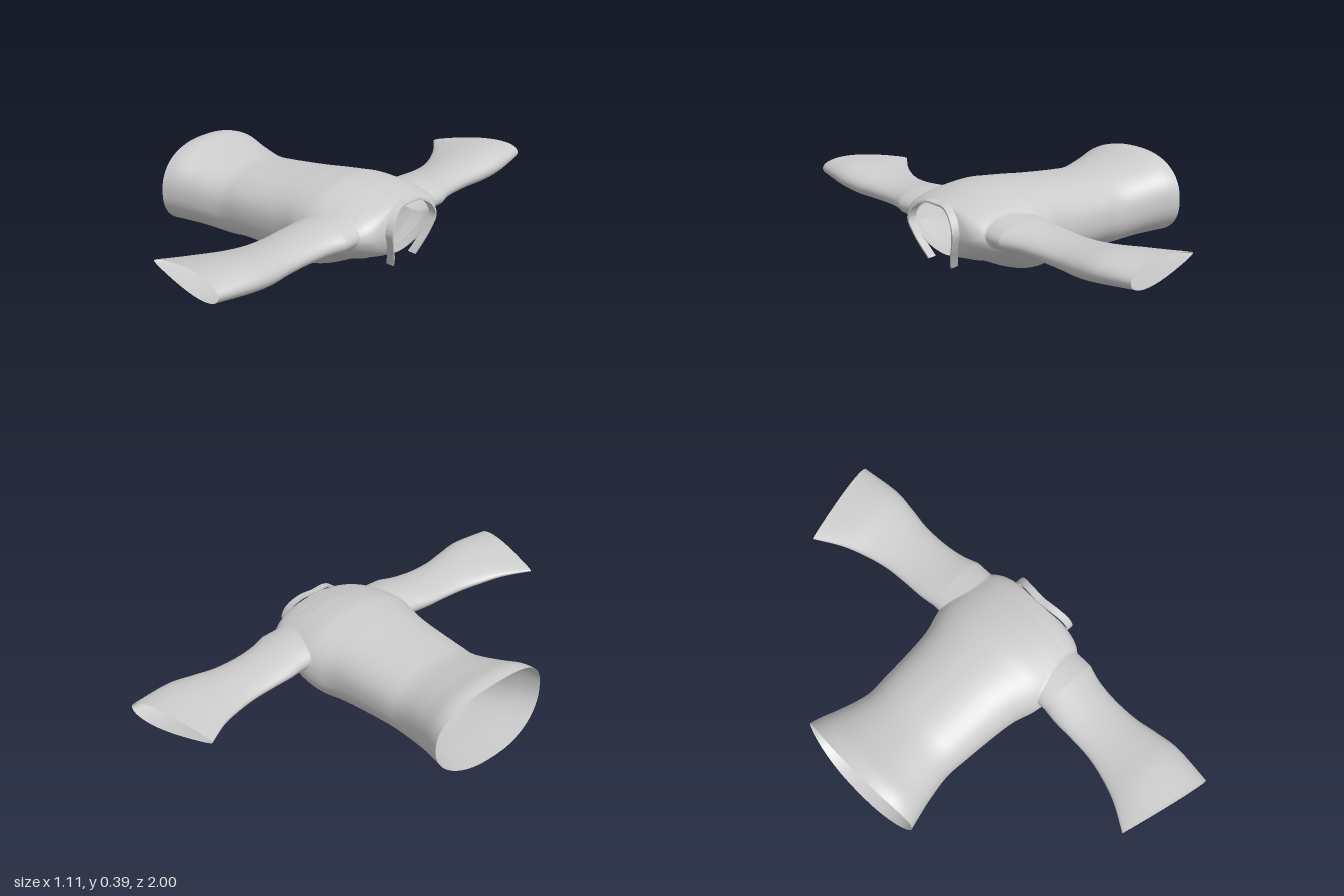
import * as THREE from 'three';
import { toCreasedNormals } from 'three/addons/utils/BufferGeometryUtils.js';

const cloth = new THREE.MeshStandardMaterial({ color: 0xcccccc, side: THREE.DoubleSide });

// Smoothly interpolates the columns of a table of sections; t runs 0..1
function sampler(table) {
  const curves = table[0].map((_, c) => new THREE.SplineCurve(table.map((row, i) => new THREE.Vector2(i, row[c]))));
  return t => curves.map(curve => curve.getPoint(t).y);
}

// Skins rows of points, each row a closed loop; keep() can leave quads out
function loft(rows, keep = () => true) {
  const n = rows[0].length, index = [];
  for (let i = 0; i < rows.length - 1; i++) {
    for (let j = 0; j < n; j++) {
      const k = (j + 1) % n;
      const a = i * n + j, b = i * n + k, c = a + n, d = b + n;
      if (keep(rows[i][j], rows[i][k], rows[i + 1][j], rows[i + 1][k])) index.push(a, b, c, b, d, c);
    }
  }
  const geometry = new THREE.BufferGeometry();
  geometry.setAttribute('position', new THREE.Float32BufferAttribute(rows.flat().flatMap(p => [p.x, p.y, p.z]), 3));
  geometry.setIndex(index);
  geometry.computeVertexNormals();
  return geometry;
}

const power = (v, e) => Math.sign(v) * Math.abs(v) ** e;

// Torso sections from hem to neck: x, half width, top, bottom, exponent, side bulge in x, lower taper
const torso = sampler([
  [-0.558, 0.302, 0.386, 0.022, 2.3, 0.028, 0],
  [-0.50, 0.288, 0.389, 0.021, 2.3, 0.02, 0],
  [-0.40, 0.262, 0.362, 0.019, 2.3, 0.01, 0],
  [-0.27, 0.238, 0.335, 0.011, 2.3, 0, 0],
  [-0.17, 0.242, 0.335, 0.019, 2.3, 0, 0],
  [0, 0.254, 0.349, 0.011, 2.3, 0, 0],
  [0.10, 0.267, 0.36, 0.005, 2.3, 0, 0],
  [0.18, 0.293, 0.367, 0.003, 2.2, 0, 0],
  [0.25, 0.307, 0.372, 0.022, 2.1, 0, 0],
  [0.34, 0.303, 0.363, 0.062, 2, 0, 0],
  [0.42, 0.288, 0.345, 0.088, 2, 0, 0],
  [0.47, 0.262, 0.331, 0.103, 2, 0.002, 0.08],
  [0.488, 0.215, 0.325, 0.107, 2, 0.018, 0.18],
  [0.492, 0.145, 0.319, 0.108, 2.3, 0.03, 0.35],
]);

// Armhole ellipse in x and y
const hole = { x: 0.34, y: 0.235, a: 0.137, b: 0.066 };
const holeRadius = p => Math.hypot((p.x - hole.x) / hole.a, (p.y - hole.y) / hole.b);

function torsoGeometry() {
  const rows = [];
  for (let i = 0; i <= 130; i++) {
    const [x, w, top, bottom, n, bulge, taper] = torso(i / 130);
    const row = [];
    for (let j = 0; j < 128; j++) {
      const angle = j / 128 * Math.PI * 2, c = Math.cos(angle), s = Math.sin(angle);
      const v = power(s, 2 / n);
      const p = new THREE.Vector3(
        x + bulge * c * c + (bulge && x > 0 ? 0.006 * s : 0),
        (top + bottom) / 2 + (top - bottom) / 2 * v,
        w * power(c, 2 / n) * (1 + taper * Math.min(v, 0)));
      // Snap points just inside the armhole to its edge
      const r = holeRadius(p);
      if (Math.abs(p.z) > 0.15 && r > 0.8 && r < 1) {
        p.x = hole.x + (p.x - hole.x) / r;
        p.y = hole.y + (p.y - hole.y) / r;
      }
      row.push(p);
    }
    rows.push(row);
  }
  return loft(rows, (...quad) => !quad.some(p => Math.abs(p.z) > 0.15 && holeRadius(p) < 0.8));
}

// Depth of the torso's side wall at a given x and y
function wallDepth(x, y) {
  let low = 0, high = 1;
  for (let i = 0; i < 30; i++) {
    const mid = (low + high) / 2;
    if (torso(mid)[0] < x) low = mid; else high = mid;
  }
  const [, w, top, bottom, n] = torso(low);
  const v = Math.min(1, Math.abs(y - (top + bottom) / 2) / ((top - bottom) / 2));
  return w * (1 - v ** n) ** (1 / n);
}

// Sleeve sections: rear edge x and z, front edge x and z, top, bottom, fullness towards the front edge
const sleeve = sampler([
  [0.203, 0.33, 0.477, 0.33, 0.295, 0.172, 0],
  [0.194, 0.40, 0.452, 0.41, 0.284, 0.176, 0.08],
  [0.191, 0.50, 0.44, 0.51, 0.276, 0.177, 0.15],
  [0.182, 0.60, 0.441, 0.62, 0.278, 0.175, 0.2],
  [0.155, 0.70, 0.455, 0.72, 0.288, 0.176, 0.28],
  [0.112, 0.80, 0.463, 0.83, 0.300, 0.187, 0.38],
  [0.043, 0.91, 0.441, 1.0, 0.300, 0.203, 0.5],
]);

function sleeveGeometry() {
  const rows = [], sides = 64, loop = [...Array(sides).keys()].map(j => -j / sides * Math.PI * 2);
  // Root follows the torso wall around the armhole
  rows.push(loop.map(angle => {
    const x = hole.x + hole.a * Math.cos(angle), y = hole.y + hole.b * Math.sin(angle);
    return new THREE.Vector3(x, y, wallDepth(x, y) - 0.004);
  }));
  for (let i = 0; i <= 48; i++) {
    const [x0, z0, x1, z1, top, bottom, full] = sleeve(i / 48);
    rows.push(loop.map(angle => {
      const c = Math.cos(angle), s = Math.sin(angle);
      return new THREE.Vector3(
        (x0 + x1) / 2 + (x1 - x0) / 2 * c,
        (top + bottom) / 2 + (top - bottom) / 2 * s * (1 + full * c) / (1 + full * full / 2),
        (z0 + z1) / 2 + (z1 - z0) / 2 * c);
    }));
  }
  return loft(rows);
}

// Collar: a thin band around the neck, open at the chest
function collarGeometry() {
  const half = [[0.495, 0.325, 0], [0.502, 0.322, 0.07], [0.517, 0.287, 0.127], [0.523, 0.24, 0.148],
    [0.512, 0.18, 0.128], [0.494, 0.12, 0.095], [0.478, 0.08, 0.075]].map(p => new THREE.Vector3(...p));
  const mirrored = half.slice(1).reverse().map(p => new THREE.Vector3(p.x, p.y, -p.z));
  const path = new THREE.CatmullRomCurve3([...mirrored, ...half]);
  const rows = [];
  for (let i = 0; i <= 80; i++) {
    const p = path.getPoint(i / 80), tangent = path.getTangent(i / 80);
    const out = new THREE.Vector3(0, tangent.z, -tangent.y).normalize().multiplyScalar(0.004);
    const edge = new THREE.Vector3(0.033, -0.004, 0);
    rows.push([[-1, 0], [1, 0], [1, 1], [-1, 1]].map(([o, e]) =>
      p.clone().addScaledVector(out, o).addScaledVector(edge, e)));
  }
  return toCreasedNormals(loft(rows), Math.PI / 4);
}

export function createModel() {
  const model = new THREE.Group();
  model.name = 'shirt';
  const add = (name, geometry) => {
    const mesh = new THREE.Mesh(geometry, cloth);
    mesh.name = name;
    model.add(mesh);
    return mesh;
  };
  add('torso', torsoGeometry());
  const arm = sleeveGeometry();
  add('frontSleeve', arm);
  add('backSleeve', arm).scale.z = -1;
  add('collar', collarGeometry());
  return model;
}
